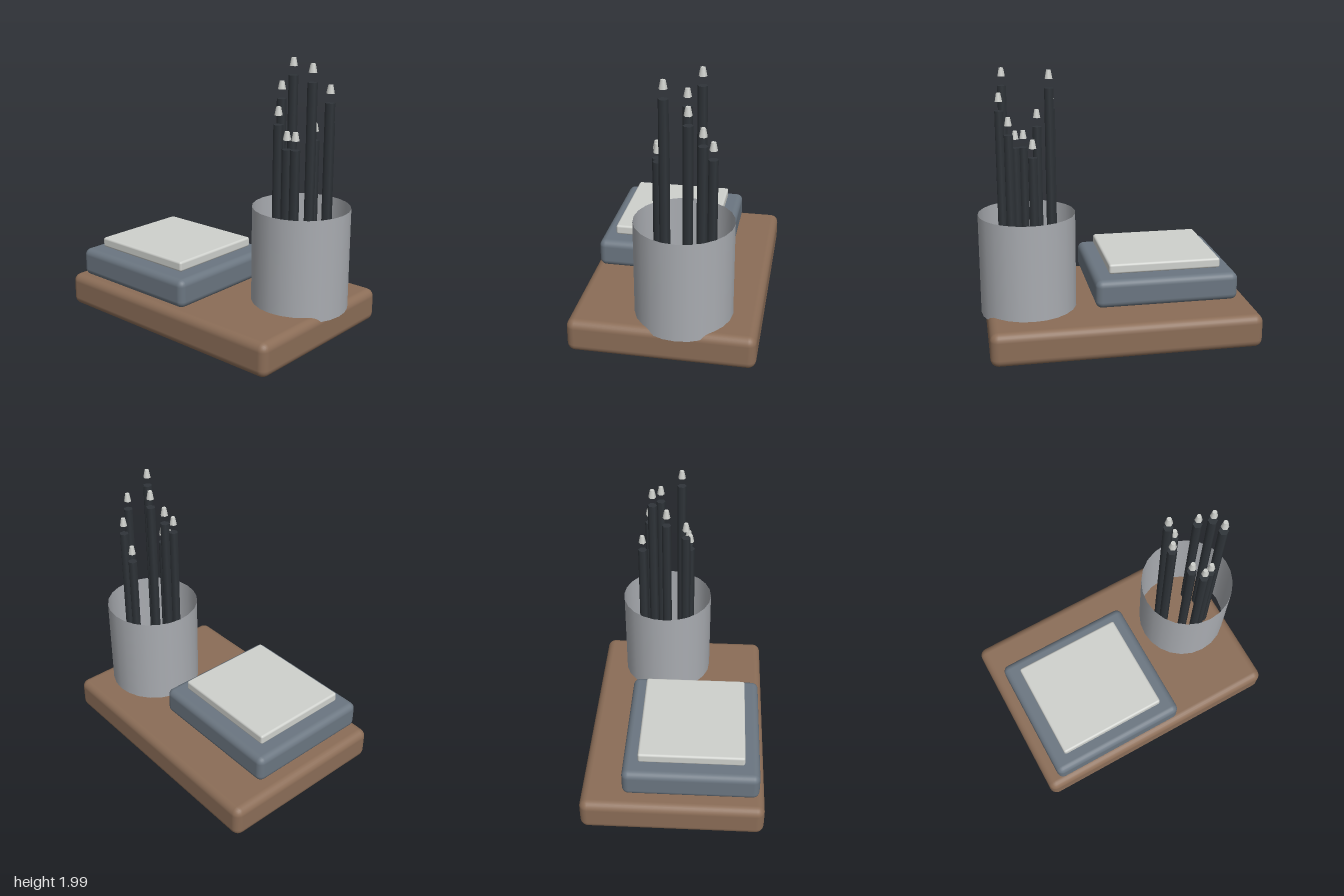
import * as THREE from 'three';
import { RoundedBoxGeometry } from 'three/addons/geometries/RoundedBoxGeometry.js';

const wood = new THREE.MeshStandardMaterial({ name: 'wood', color: 0x8b6d57 });
const slate = new THREE.MeshStandardMaterial({ name: 'slate', color: 0x6b7681 });
const paper = new THREE.MeshStandardMaterial({ name: 'paper', color: 0xcfd1cd });
const metal = new THREE.MeshStandardMaterial({ name: 'metal', color: 0xa9acb1, side: THREE.DoubleSide });
const graphite = new THREE.MeshStandardMaterial({ name: 'graphite', color: 0x2f3439 });

export function createModel() {
  const model = new THREE.Group();
  model.name = 'deskOrganizer';

  const add = (name, geometry, material, x, y, z, parent = model) => {
    const mesh = new THREE.Mesh(geometry, material);
    mesh.name = name;
    mesh.position.set(x, y, z);
    parent.add(mesh);
    return mesh;
  };

  // Rounded slab given by its extents along each axis
  const slab = (name, material, [x0, x1], [y0, y1], [z0, z1], radius) =>
    add(name, new RoundedBoxGeometry(x1 - x0, y1 - y0, z1 - z0, 3, radius), material,
      (x0 + x1) / 2, (y0 + y1) / 2, (z0 + z1) / 2);

  // Tray, note holder and note pad
  slab('baseTray', wood, [-1, 0.963], [0, 0.25], [-0.67, 0.67], 0.06);
  slab('noteHolder', slate, [-0.897, 0.178], [0.26, 0.472], [-0.365, 0.628], 0.05);
  slab('notePad', paper, [-0.783, 0.063], [0.485, 0.56], [-0.252, 0.517], 0.017);

  // Open cup
  add('cup', new THREE.CylinderGeometry(0.353, 0.353, 0.745, 24, 1, true), metal, 0.647, 0.5825, -0.122);

  // Hexagonal pencils: x, z and height step, each with a tip hovering above
  const pencils = [
    [0.645, 0.06, 0], [0.705, 0.045, 0], [0.61, -0.312, 0],
    [0.545, 0.03, 1], [0.77, -0.266, 1],
    [0.46, -0.112, 2], [0.825, -0.178, 2],
    [0.48, -0.216, 3], [0.792, -0.014, 3],
  ];
  const bottom = 0.25;
  const tipGeometry = new THREE.CylinderGeometry(0.017, 0.029, 0.06, 6);
  for (const [x, z, step] of pencils) {
    const top = 1.4 + step * 0.155;
    const pencil = new THREE.Group();
    pencil.name = 'pencil';
    pencil.position.set(x, 0, z);
    model.add(pencil);
    add('pencilBody', new THREE.CylinderGeometry(0.035, 0.035, top - bottom, 6), graphite,
      0, (top + bottom) / 2, 0, pencil);
    add('pencilTip', tipGeometry, paper, 0, top + 0.095, 0, pencil);
  }

  return model;
}
